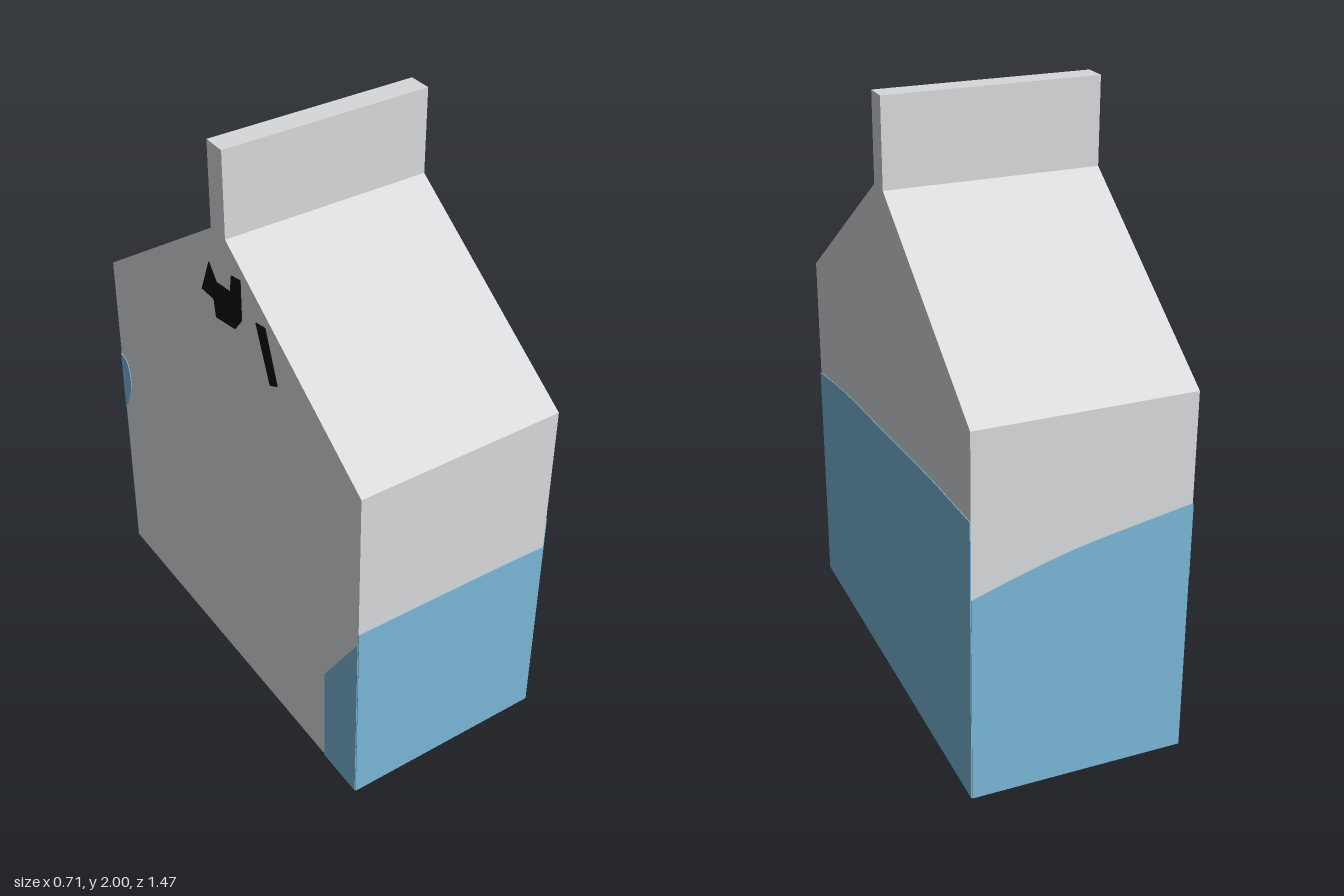
import * as THREE from 'three';

const mat = (name, color) => {
  const m = new THREE.MeshStandardMaterial({ color });
  m.name = name;
  return m;
};

const W = 0.354; // half width (x)
const D = 0.734; // half depth (z)
const T = 0.003; // thickness of painted panels

export function createModel() {
  const card = mat('white card', 0xd6d8d9);
  const blue = mat('light blue print', 0x78b5d5);
  const black = mat('black print', 0x0a0a0a);
  const carton = new THREE.Group();
  carton.name = 'carton';

  // Extrudes an outline; curved tops are passed as separate spline points
  const slab = (name, points, depth, material, curve = []) => {
    const shape = new THREE.Shape(points.map(([a, b]) => new THREE.Vector2(a, b)));
    if (curve.length) shape.splineThru(curve.map(([a, b]) => new THREE.Vector2(a, b)));
    const geometry = new THREE.ExtrudeGeometry(shape, { depth, bevelEnabled: false, curveSegments: 16 });
    const mesh = new THREE.Mesh(geometry, material);
    mesh.name = name;
    carton.add(mesh);
    return mesh;
  };

  // Same, with the outline given as (z, y) and the thickness running along x
  const sideSlab = (name, points, x, depth, material, curve = []) => {
    const flip = (list) => list.map(([z, y]) => [-z, y]);
    const mesh = slab(name, flip(points), depth, material, flip(curve));
    mesh.geometry.rotateY(Math.PI / 2).translate(x, 0, 0);
    return mesh;
  };

  // Body, sloping roof and upright sealed fin in one profile
  sideSlab('body', [
    [D, 0], [-D, 0], [-D, 1.235], [-0.04, 1.715], [-0.04, 2],
    [0.04, 2], [0.04, 1.715], [D, 1.235],
  ], -W, 2 * W, card);

  // Blue lower band on the front and back
  slab('frontBand', [[-W, 0], [W, 0], [W, 0.7]], T, blue,
    [[0.15, 0.706], [-W, 0.71]]).position.z = D;
  slab('backBand', [[-W, 0], [W, 0], [W, 0.7]], T, blue,
    [[0.2, 0.75], [0, 0.805], [-W, 0.87]]).position.z = -D - T;

  // Blue lower band on the left side, rising toward the back
  sideSlab('leftBand', [[-D, 0], [D, 0], [D, 0.815]], W, T, blue,
    [[0.4, 0.865], [0, 0.9], [-0.4, 0.937], [-D, 0.955]]);

  // Blue wrapping onto the right side from the front and back
  sideSlab('rightFrontStrip', [[D, 0], [D, 0.67], [0.56, 0.39], [0.56, 0]], -W - T, T, blue);
  sideSlab('rightBackStrip', [[-D, 0.62], [-D, 0.86]], -W - T, T, blue,
    [[-0.69, 0.84], [-0.675, 0.76], [-0.7, 0.68], [-D, 0.62]]);

  // Small dark marks high on the right gable
  sideSlab('gableMark', [
    [-0.11, 1.47], [-0.06, 1.59], [-0.02, 1.54], [0.06, 1.55], [0.07, 1.61],
    [0.12, 1.62], [0.12, 1.48], [0.08, 1.43], [-0.03, 1.41], [-0.04, 1.47],
  ], -W - T, T, black);
  sideSlab('gableMarkSmall', [
    [0.2, 1.52], [0.25, 1.53], [0.31, 1.36], [0.27, 1.34],
  ], -W - T, T, black);

  return carton;
}
